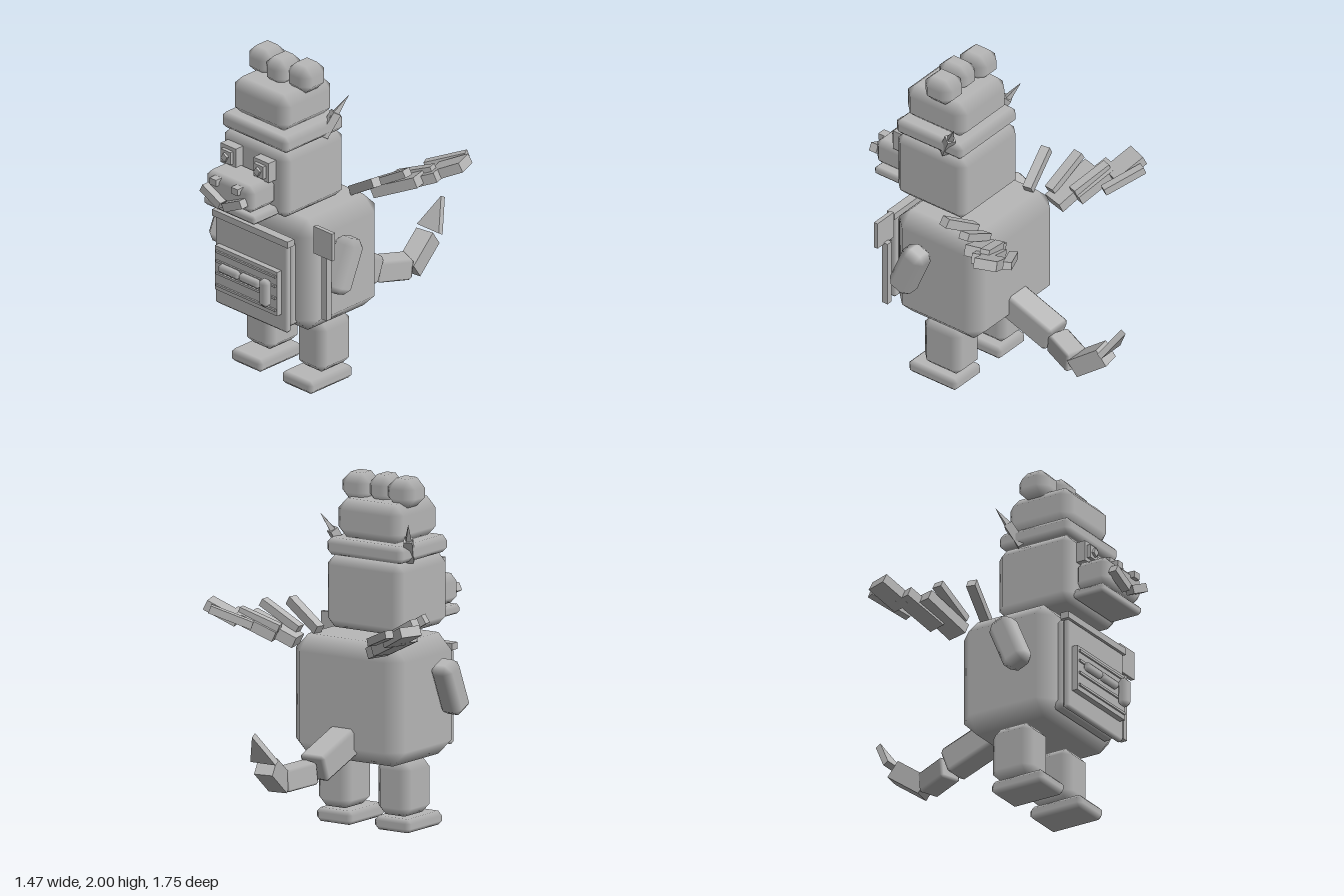
import * as THREE from 'three';
import { ConvexGeometry } from 'three/addons/geometries/ConvexGeometry.js';

const grey = new THREE.MeshStandardMaterial({ color: 0xb8b8b8 });
grey.name = 'plain grey';

// Box with cut edges; normals follow the main faces so the bevels shade softly
function bevelBox(w, h, d, c) {
  if (!c) return new THREE.BoxGeometry(w, h, d);
  const half = [w / 2, h / 2, d / 2];
  const pts = [];
  for (const sx of [-1, 1]) for (const sy of [-1, 1]) for (const sz of [-1, 1]) {
    const s = [sx, sy, sz];
    for (let axis = 0; axis < 3; axis++) {
      const p = half.map((v, i) => s[i] * (i === axis ? v : v - c));
      pts.push(new THREE.Vector3(...p));
    }
  }
  const geo = new ConvexGeometry(pts);
  const pos = geo.attributes.position, nor = geo.attributes.normal;
  for (let i = 0; i < pos.count; i++) {
    const p = [pos.getX(i), pos.getY(i), pos.getZ(i)];
    const n = p.map((v, k) => (Math.abs(Math.abs(v) - half[k]) < 1e-4 ? Math.sign(v) : 0));
    nor.setXYZ(i, n[0], n[1], n[2]);
  }
  return geo;
}

export function createModel() {
  const model = new THREE.Group();
  model.name = 'dragonCook';

  const add = (name, geo, x = 0, y = 0, z = 0) => {
    const mesh = new THREE.Mesh(geo, grey);
    mesh.name = name;
    mesh.position.set(x, y, z);
    model.add(mesh);
    return mesh;
  };
  // Box given by its ranges on each axis
  const block = (name, [x0, x1], [y0, y1], [z0, z1], c = 0) =>
    add(name, bevelBox(x1 - x0, y1 - y0, z1 - z0, c), (x0 + x1) / 2, (y0 + y1) / 2, (z0 + z1) / 2);
  // Box running from point a to point b
  const beam = (name, a, b, w, h, c = 0) => {
    const from = new THREE.Vector3(...a), to = new THREE.Vector3(...b);
    const mesh = add(name, bevelBox(w, h, from.distanceTo(to), c));
    mesh.position.copy(from).add(to).multiplyScalar(0.5);
    mesh.lookAt(to);
    return mesh;
  };

  // Torso, head and hat
  block('body', [-0.38, 0.38], [0.405, 1.105], [-0.065, 0.56], 0.09);
  block('head', [-0.265, 0.265], [1.125, 1.54], [0.125, 0.625], 0.05);
  block('hatBand', [-0.265, 0.265], [1.54, 1.64], [0.14, 0.62], 0.03);
  block('hatCrown', [-0.225, 0.225], [1.635, 1.865], [0.165, 0.595], 0.06);
  add('hatPuffMiddle', bevelBox(0.17, 0.165, 0.205, 0.055), 0, 1.918, 0.373);
  for (const s of [-1, 1]) add('hatPuffSide', bevelBox(0.19, 0.165, 0.2, 0.055), s * 0.157, 1.918, 0.347);

  // Muzzle
  block('snout', [-0.19, 0.19], [1.205, 1.375], [0.6, 0.828], 0.04);
  block('lowerJaw', [-0.205, 0.205], [1.145, 1.2], [0.6, 0.815], 0.018);

  // Apron with pocket
  block('bellyPlate', [-0.28, 0.28], [0.45, 1.0], [0.5, 0.6], 0.03);
  block('apron', [-0.288, 0.288], [0.435, 0.985], [0.592, 0.635], 0.014);
  block('apronTopBar', [-0.3, 0.3], [0.98, 1.02], [0.588, 0.642]);
  block('pocket', [-0.25, 0.245], [0.545, 0.82], [0.63, 0.67]);
  for (const y of [0.79, 0.73, 0.655, 0.58])
    block('pocketRail', [-0.235, 0.235], [y - 0.007, y + 0.007], [0.665, 0.68]);
  for (const x of [-0.113, 0.05])
    add('pocketRoll', bevelBox(0.165, 0.056, 0.05, 0.02), x, 0.708, 0.69);
  add('pocketPill', bevelBox(0.075, 0.17, 0.065, 0.024), 0.185, 0.685, 0.705);

  // Spatula beside the left arm
  block('spatulaBlade', [0.402, 0.55], [0.95, 1.12], [0.512, 0.537]);
  block('spatulaHandle', [0.455, 0.493], [0.55, 0.96], [0.485, 0.525]);

  for (const s of [-1, 1]) {
    // Face details
    add('eye', bevelBox(0.12, 0.122, 0.07), s * 0.13, 1.43, 0.648);
    add('iris', bevelBox(0.078, 0.078, 0.03), s * 0.13, 1.43, 0.69);
    add('pupil', bevelBox(0.036, 0.04, 0.03), s * 0.13, 1.43, 0.705).rotation.z = -0.5;
    add('nostril', bevelBox(0.052, 0.04, 0.05), s * 0.085, 1.338, 0.828);
    add('moustache', bevelBox(0.158, 0.05, 0.05), s * 0.086, 1.252, 0.85).rotation.z = s * 0.45;

    // Horns
    beam('hornBase', [s * 0.225, 1.54, 0.285], [s * 0.262, 1.675, 0.215], 0.05, 0.05);
    const base = new THREE.Vector3(s * 0.25, 1.64, 0.235);
    const tip = new THREE.Vector3(s * 0.305, 1.778, 0.155);
    const horn = add('hornTip', new THREE.ConeGeometry(0.03, base.distanceTo(tip), 4).toNonIndexed());
    horn.geometry.computeVertexNormals();
    horn.position.copy(base).add(tip).multiplyScalar(0.5);
    horn.quaternion.setFromUnitVectors(new THREE.Vector3(0, 1, 0), tip.sub(base).normalize());

    // Limbs
    add('arm', bevelBox(0.15, 0.33, 0.155, 0.042), s * 0.455, 0.83, 0.352).rotation.x = -0.4;
    block('leg', s > 0 ? [0.09, 0.32] : [-0.32, -0.09], [0.09, 0.41], [0.118, 0.39], 0.05);
    block('foot', s > 0 ? [0.077, 0.325] : [-0.325, -0.077], [0, 0.08], [0.13, 0.48], 0.025);

    // Wing: start, end, width, thickness
    const wing = [
      ['wingInner', [0.27, 1.085, -0.11], [0.54, 1.215, -0.185], 0.135, 0.065],
      ['wingMiddle', [0.36, 1.12, -0.19], [0.6, 1.235, -0.275], 0.12, 0.06],
      ['wingOuter', [0.53, 1.21, -0.315], [0.7, 1.3, -0.38], 0.135, 0.06],
      ['wingFeather', [0.24, 1.125, 0.055], [0.465, 1.265, 0.098], 0.055, 0.055],
      ['wingFeather', [0.29, 1.145, -0.065], [0.525, 1.28, -0.09], 0.06, 0.045],
      ['wingFeather', [0.335, 1.165, -0.195], [0.56, 1.255, -0.265], 0.055, 0.045],
      ['wingFeather', [0.41, 1.2, -0.355], [0.62, 1.29, -0.475], 0.05, 0.045],
    ];
    for (const [name, a, b, w, h] of wing)
      beam(name, [a[0] * s, a[1], a[2]], [b[0] * s, b[1], b[2]], w, h);
  }

  // Tail
  beam('tailBase', [0, 0.545, 0.0], [0, 0.42, -0.34], 0.17, 0.165, 0.02);
  beam('tailMiddle', [0.005, 0.405, -0.345], [0.08, 0.38, -0.55], 0.135, 0.13, 0.015);
  beam('tailEnd', [0.08, 0.36, -0.55], [0.05, 0.495, -0.735], 0.115, 0.11);
  const arrow = new THREE.Shape([
    new THREE.Vector2(-0.087, -0.1), new THREE.Vector2(0.087, -0.1), new THREE.Vector2(0, 0.1),
  ]);
  const arrowGeo = new THREE.ExtrudeGeometry(arrow, { depth: 0.036, bevelEnabled: false });
  arrowGeo.translate(0, 0, -0.018);
  add('tailTip', arrowGeo, 0.047, 0.61, -0.805).rotation.x = -0.56;

  return model;
}
